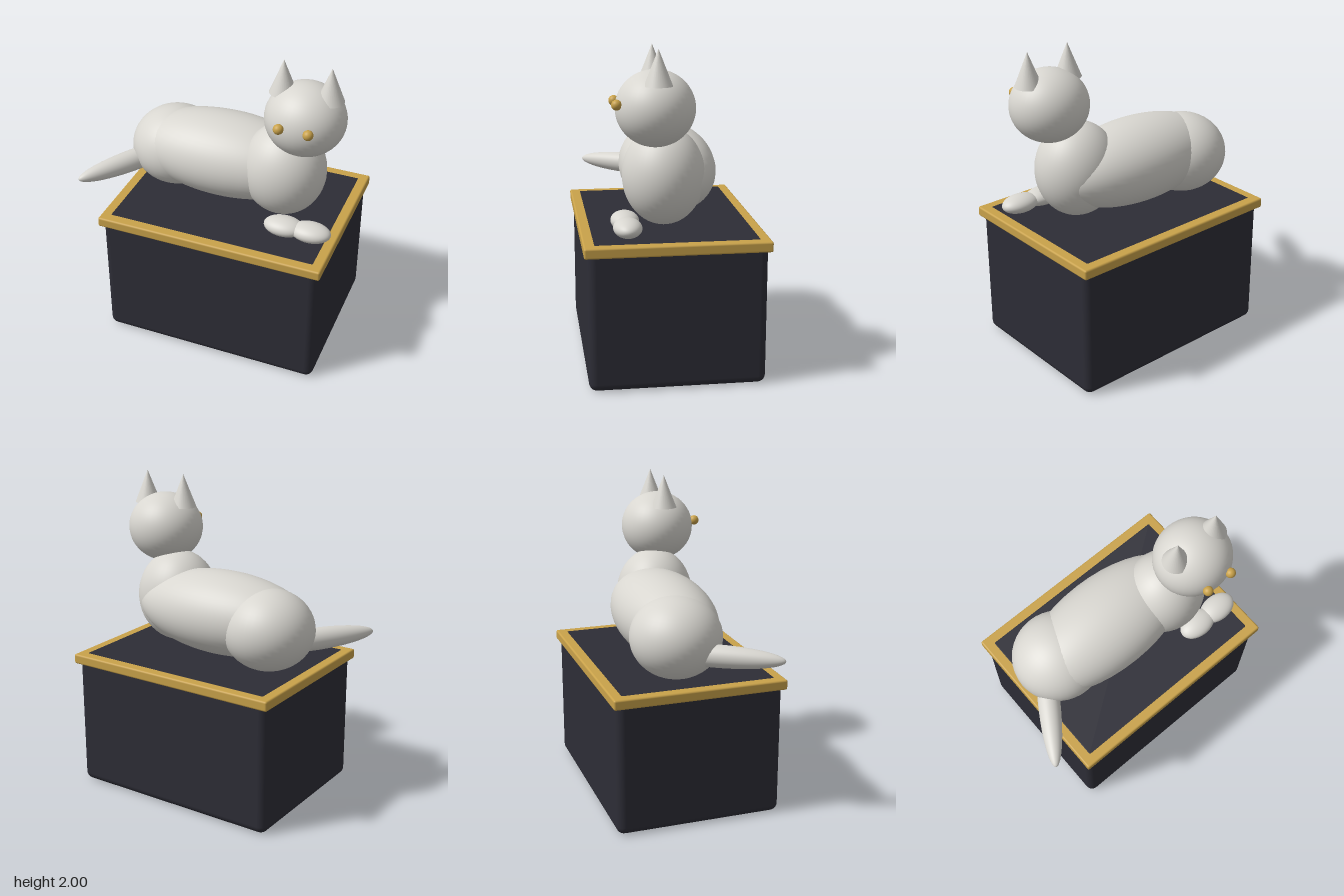
import * as THREE from 'three';
import { RoundedBoxGeometry } from 'three/addons/geometries/RoundedBoxGeometry.js';

const material = (name, color) => {
  const m = new THREE.MeshStandardMaterial({ color });
  m.name = name;
  return m;
};

export function createModel() {
  const model = new THREE.Group();
  model.name = 'catOnPlinth';
  const fur = material('pale fur', 0xd8d6d0);
  const dark = material('dark plinth', 0x2d2d36);
  const gold = material('gold', 0xc9a24a);

  const add = (name, geometry, mat, position, parent = model) => {
    const mesh = new THREE.Mesh(geometry, mat);
    mesh.name = name;
    mesh.position.set(...position);
    parent.add(mesh);
    return mesh;
  };
  const ellipsoid = (name, position, radii, mat = fur, parent = model) => {
    const mesh = add(name, new THREE.SphereGeometry(1, 40, 28), mat, position, parent);
    mesh.scale.set(...radii);
    return mesh;
  };

  // Plinth, with its flat top just proud of the gold rim
  add('plinth', new RoundedBoxGeometry(1.42, 0.891, 1.06, 3, 0.05), dark, [0.09, 0.4455, 0]);
  add('plinthRim', new RoundedBoxGeometry(1.46, 0.064, 1.1, 2, 0.012), gold, [0.09, 0.858, 0]);

  // Reclining body
  const cat = new THREE.Group();
  cat.name = 'cat';
  model.add(cat);
  ellipsoid('haunches', [-0.36, 1.147, -0.075], [0.29, 0.255, 0.285], fur, cat);
  ellipsoid('torso', [0, 1.185, -0.035], [0.62, 0.265, 0.3], fur, cat);
  ellipsoid('chest', [0.41, 1.215, 0.04], [0.267, 0.3, 0.25], fur, cat);
  ellipsoid('head', [0.553, 1.643, 0.107], [0.246, 0.225, 0.235], fur, cat);

  // Paired ears, eyes and paws
  for (const [side, s] of [['right', -1], ['left', 1]]) {
    add(side + 'Ear', new THREE.ConeGeometry(0.083, 0.21, 32), fur, [0.553 + s * 0.144, 1.895, 0.108], cat);
    ellipsoid(side + 'Eye', [0.553 + s * 0.089, 1.679, 0.34], [0.031, 0.031, 0.031], gold, cat);
    ellipsoid(side + 'Paw', [0.588 + s * 0.085, 0.966, 0.285], [0.127, 0.056, 0.085], fur, cat);
  }

  // Tapered tail pointing out from the haunches
  const tail = ellipsoid('tail', [-0.58, 1.075, 0.1], [0.07, 0.42, 0.07], fur, cat);
  tail.quaternion.setFromUnitVectors(
    new THREE.Vector3(0, 1, 0),
    new THREE.Vector3(-0.549, 0, 0.836).normalize()
  );

  return model;
}
